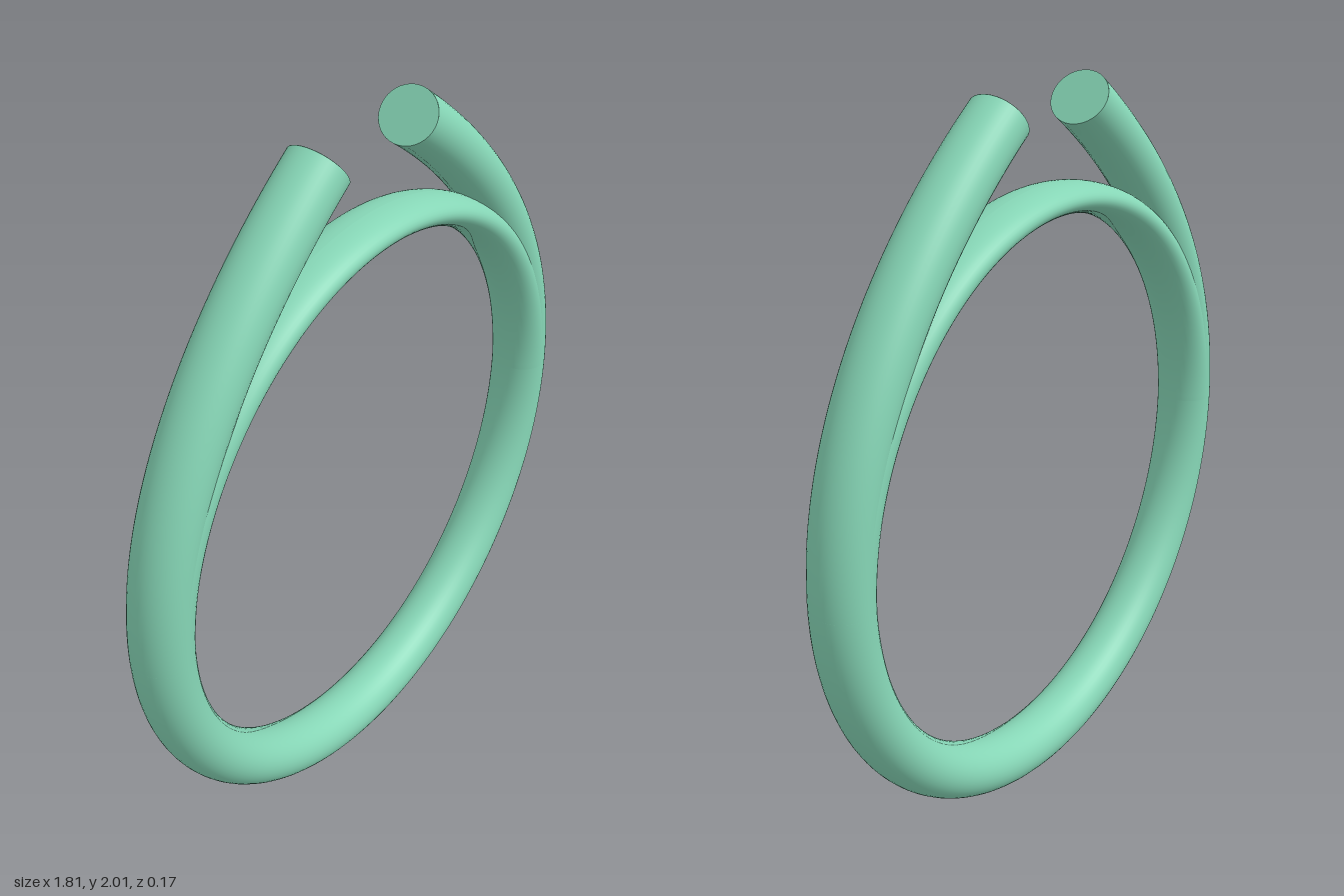
import * as THREE from 'three';

const CY = 0.907;        // height of the ring centre
const RING = 0.83;       // centreline radius of the tube
const TUBE = 0.077;      // tube half thickness in the ring plane
const DEPTH = 0.085;     // tube half width along z
const INNER = RING - TUBE;

export function createModel() {
  const group = new THREE.Group();
  const material = new THREE.MeshStandardMaterial({ color: 0x86d6b6, side: THREE.DoubleSide });
  const add = (name, geometry) => {
    const mesh = new THREE.Mesh(geometry, material);
    mesh.name = name;
    group.add(mesh);
    return mesh;
  };

  // Open tube: lower half circle, then each arm leaves the circle and leans inwards
  const end = new THREE.Vector3(0.18, 1.943, 0);
  const endDir = new THREE.Vector3(-0.82, 0.572, 0).normalize();
  const arm = new THREE.CubicBezierCurve3(
    new THREE.Vector3(RING, CY, 0),
    new THREE.Vector3(RING, CY + 0.42, 0),
    end.clone().addScaledVector(endDir, -0.45),
    end
  ).getSpacedPoints(24);
  const mirrored = arm.map(p => new THREE.Vector3(-p.x, p.y, 0));
  const lower = [];
  for (let i = 1; i < 48; i++) {
    const a = Math.PI + (i / 48) * Math.PI;
    lower.push(new THREE.Vector3(RING * Math.cos(a), CY + RING * Math.sin(a), 0));
  }
  const path = new THREE.CatmullRomCurve3([...mirrored.reverse(), ...lower, ...arm]);
  const tube = new THREE.TubeGeometry(path, 240, TUBE, 40, false);
  tube.scale(1, 1, DEPTH / TUBE);
  add('openRingTube', tube);

  // Flat ends of the two arms
  for (const side of [1, -1]) {
    const cap = new THREE.CircleGeometry(1, 40);
    cap.scale(DEPTH, TUBE, 1);
    const dir = new THREE.Vector3(endDir.x * side, endDir.y, 0);
    cap.lookAt(dir);
    cap.translate(end.x * side, end.y, 0);
    add(side > 0 ? 'leftArmEnd' : 'rightArmEnd', cap);
  }

  // Upper band: closes the ring, thinnest at the top and blending into the tube at the sides
  const band = new THREE.TorusGeometry(RING, TUBE, 40, 120, Math.PI);
  const pos = band.attributes.position;
  for (let i = 0; i < pos.count; i++) {
    const x = pos.getX(i), y = pos.getY(i);
    const a = Math.atan2(y, x);
    const u = (Math.hypot(x, y) - RING) / TUBE;
    const s = Math.abs(a - Math.PI / 2) / (Math.PI / 2);
    const half = 0.0425 + (TUBE - 0.0425) * s * s;
    const r = INNER + half * (1 + u);
    pos.setXYZ(i, r * Math.cos(a), CY + r * Math.sin(a), pos.getZ(i) * DEPTH / TUBE);
  }
  band.computeVertexNormals();
  add('upperBand', band);

  return group;
}
